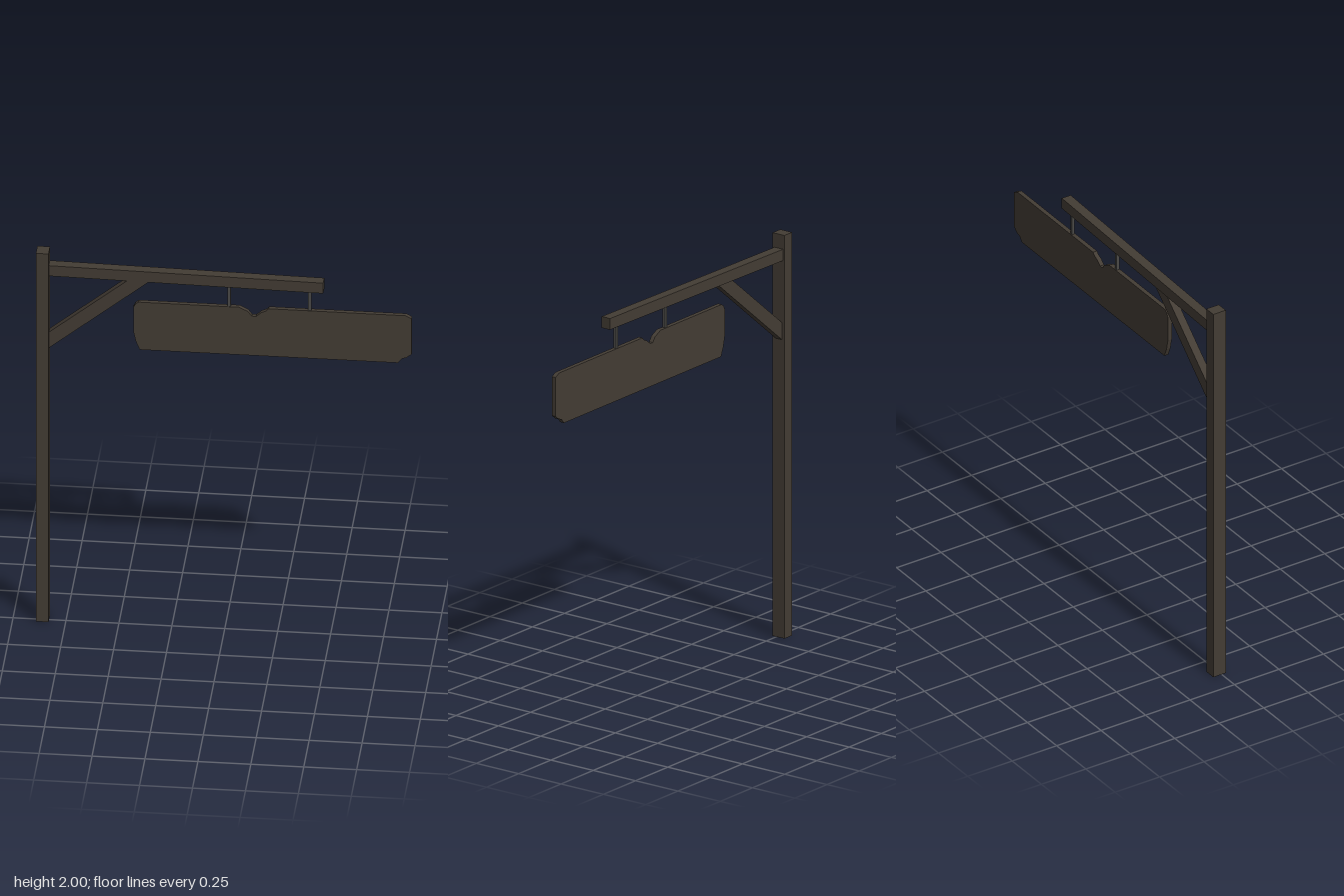
import * as THREE from 'three';

const wood = new THREE.MeshStandardMaterial({ name: 'dark weathered wood', color: 0x433c34 });
const iron = new THREE.MeshStandardMaterial({ name: 'grey iron', color: 0x4a4946 });

// Extrude an outline in the xy plane, centred on z
function slab(name, points, depth, material) {
  const shape = new THREE.Shape(points.map(([x, y]) => new THREE.Vector2(x, y)));
  const geometry = new THREE.ExtrudeGeometry(shape, { depth, bevelEnabled: false });
  geometry.translate(0, 0, -depth / 2);
  const mesh = new THREE.Mesh(geometry, material);
  mesh.name = name;
  return mesh;
}

function box(name, size, position, material) {
  const mesh = new THREE.Mesh(new THREE.BoxGeometry(...size), material);
  mesh.name = name;
  mesh.position.set(...position);
  return mesh;
}

export function createModel() {
  const model = new THREE.Group();
  model.name = 'hangingSignpost';

  // Upright post
  model.add(box('post', [0.06, 2, 0.07], [-0.86, 1, -0.012], wood));

  // Arm and brace, swung slightly forward about the post
  const arm = new THREE.Group();
  arm.name = 'arm';
  arm.position.set(-0.84, 0, -0.014);
  arm.rotation.y = -Math.atan2(0.033, 1.3);
  arm.add(box('beam', [1.31, 0.056, 0.05], [0.655, 1.902, 0], wood));
  arm.add(slab('brace', [[0, 1.472], [0.01, 1.48], [0.49, 1.878], [0.388, 1.878], [0, 1.557]], 0.04, wood));
  model.add(arm);

  // Hanger rods
  for (const x of [0.022, 0.403]) {
    model.add(box('hangerRod', [0.015, 0.13, 0.015], [x, 1.82, 0.011], iron));
  }

  // Worn sign board with chipped corners and a notch in the top edge
  const board = slab('signBoard', [
    [-0.4, 1.505], [0.82, 1.505], [0.838, 1.528], [0.86, 1.535], [0.885, 1.555],
    [0.885, 1.748], [0.857, 1.763], [0.21, 1.763], [0.198, 1.75], [0.175, 1.74],
    [0.15, 1.718], [0.13, 1.718], [0.112, 1.742], [0.07, 1.763],
    [-0.405, 1.763], [-0.42, 1.752], [-0.43, 1.732], [-0.43, 1.605], [-0.418, 1.55],
  ], 0.022, wood);
  board.position.z = 0.011;
  model.add(board);

  return model;
}
